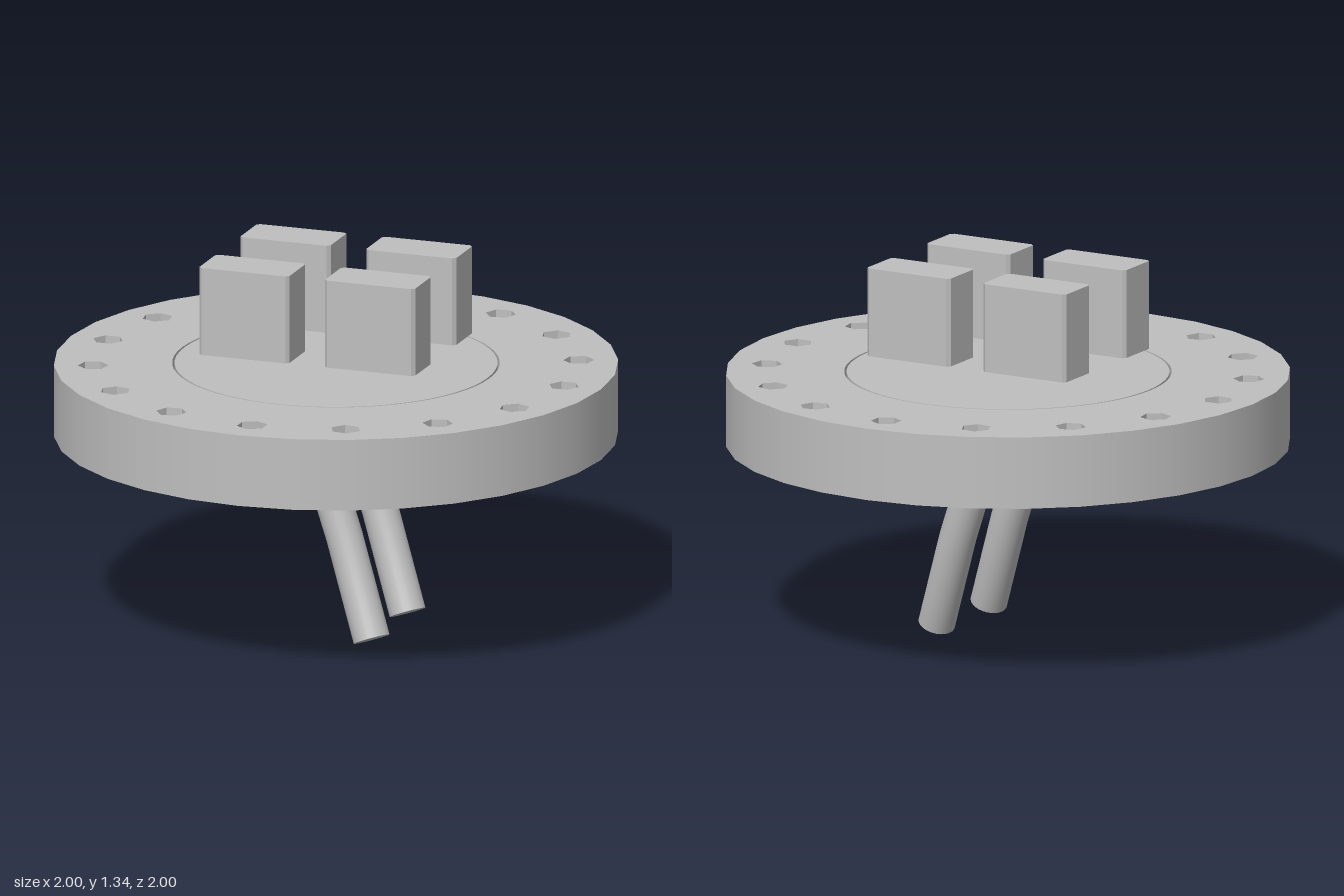
import * as THREE from 'three';

const BOTTOM = 0.69, RECESS = 0.715, TOP = 0.95;
const BORE = 0.58, RIM = 0.79, BOLT_CIRCLE = 0.86, BOLT_R = 0.055, BOLTS = 16;

// Polygonal outline with n corners, corner 0 at angle a
function ring(PathType, r, n, cx = 0, cy = 0, a = 0) {
  const pts = [];
  for (let i = 0; i < n; i++) {
    const t = a + (i / n) * Math.PI * 2;
    pts.push(new THREE.Vector2(cx + r * Math.cos(t), cy + r * Math.sin(t)));
  }
  return new PathType(pts);
}

// Round wall from y0 to y1: rising faces outward, falling faces inward
function wall(r, y0, y1, n) {
  return new THREE.LatheGeometry([new THREE.Vector2(r, y0), new THREE.Vector2(r, y1)], n);
}

// Flat annulus at height y, facing up or down
function face(outer, nOuter, inner, nInner, y, up, bolts) {
  const shape = ring(THREE.Shape, outer, nOuter);
  shape.holes.push(ring(THREE.Path, inner, nInner));
  for (let i = 0; bolts && i < BOLTS; i++) {
    const a = (i / BOLTS) * Math.PI * 2;
    shape.holes.push(ring(THREE.Path, BOLT_R, 6, BOLT_CIRCLE * Math.cos(a), BOLT_CIRCLE * Math.sin(a), a));
  }
  return new THREE.ShapeGeometry(shape).rotateX(up ? -Math.PI / 2 : Math.PI / 2).translate(0, y, 0);
}

// Capped rod whose three rings follow the points, mitred at the bend
function bentRod(points, radius) {
  const geo = new THREE.CylinderGeometry(radius, radius, 2, 24, 2);
  const dirs = [
    points[0].clone().sub(points[1]).normalize(),
    null,
    points[1].clone().sub(points[2]).normalize(),
  ];
  dirs[1] = dirs[0].clone().add(dirs[2]).normalize();
  const turns = dirs.map((d) => new THREE.Quaternion().setFromUnitVectors(new THREE.Vector3(0, 1, 0), d));
  const p = geo.attributes.position, nor = geo.attributes.normal, v = new THREE.Vector3();
  for (let i = 0; i < p.count; i++) {
    const k = Math.round(1 - p.getY(i));
    v.set(p.getX(i), 0, p.getZ(i)).applyQuaternion(turns[k]).add(points[k]);
    p.setXYZ(i, v.x, v.y, v.z);
    v.fromBufferAttribute(nor, i).applyQuaternion(turns[k]);
    nor.setXYZ(i, v.x, v.y, v.z);
  }
  return geo;
}

// Upright block with small chamfers on its vertical edges
function block(w, h, d, c) {
  const x = w / 2, z = d / 2;
  const corners = [
    [x - c, -z], [x, -z + c], [x, z - c], [x - c, z],
    [-x + c, z], [-x, z - c], [-x, -z + c], [-x + c, -z],
  ];
  const shape = new THREE.Shape(corners.map(([a, b]) => new THREE.Vector2(a, b)));
  return new THREE.ExtrudeGeometry(shape, { depth: h, bevelEnabled: false }).rotateX(-Math.PI / 2);
}

export function createModel() {
  const model = new THREE.Group();
  const metal = new THREE.MeshStandardMaterial({ color: 0xbfbfbf });
  metal.name = 'grey metal';
  const add = (parent, name, geo) => {
    const mesh = new THREE.Mesh(geo, metal);
    mesh.name = name;
    parent.add(mesh);
    return mesh;
  };

  // Flange ring with stepped underside
  const flange = new THREE.Group();
  flange.name = 'flange';
  model.add(flange);
  add(flange, 'flangeTop', face(1, 32, BORE, 64, TOP, true, true));
  add(flange, 'flangeRim', face(1, 32, RIM, 64, BOTTOM, false, true));
  add(flange, 'flangeRecess', face(RIM, 64, BORE, 64, RECESS, false, false));
  add(flange, 'outerWall', wall(1, BOTTOM, TOP, 32));
  add(flange, 'recessWall', wall(RIM, RECESS, BOTTOM, 64));
  add(flange, 'boreWall', wall(BORE, TOP, RECESS, 64));

  // Hexagonal bolt hole linings
  const lining = wall(BOLT_R, TOP, BOTTOM, 6).toNonIndexed();
  lining.computeVertexNormals();
  for (let i = 0; i < BOLTS; i++) {
    const a = (i / BOLTS) * Math.PI * 2;
    const hole = add(flange, 'boltHole', lining);
    hole.position.set(BOLT_CIRCLE * Math.sin(a), 0, BOLT_CIRCLE * Math.cos(a));
    hole.rotation.y = a;
  }

  // Centre plate, separated from the flange by a hairline gap
  add(model, 'centrePlate', new THREE.CylinderGeometry(0.572, 0.572, 0.1, 64)).position.y = 0.9;

  // Four blocks hovering above the plate
  const blockGeo = block(0.34, 0.32, 0.182, 0.012);
  for (const x of [-0.238, 0.236]) {
    for (const z of [-0.211, 0.211]) add(model, 'block', blockGeo).position.set(x, 1.02, z);
  }

  // Two bent rods below
  const rod = bentRod([
    new THREE.Vector3(0, 0.68, 0),
    new THREE.Vector3(0.1, 0.37, 0),
    new THREE.Vector3(0.232, 0.026, 0.08),
  ], 0.066);
  for (const z of [0.185, -0.183]) add(model, 'rod', rod).position.z = z;

  return model;
}
